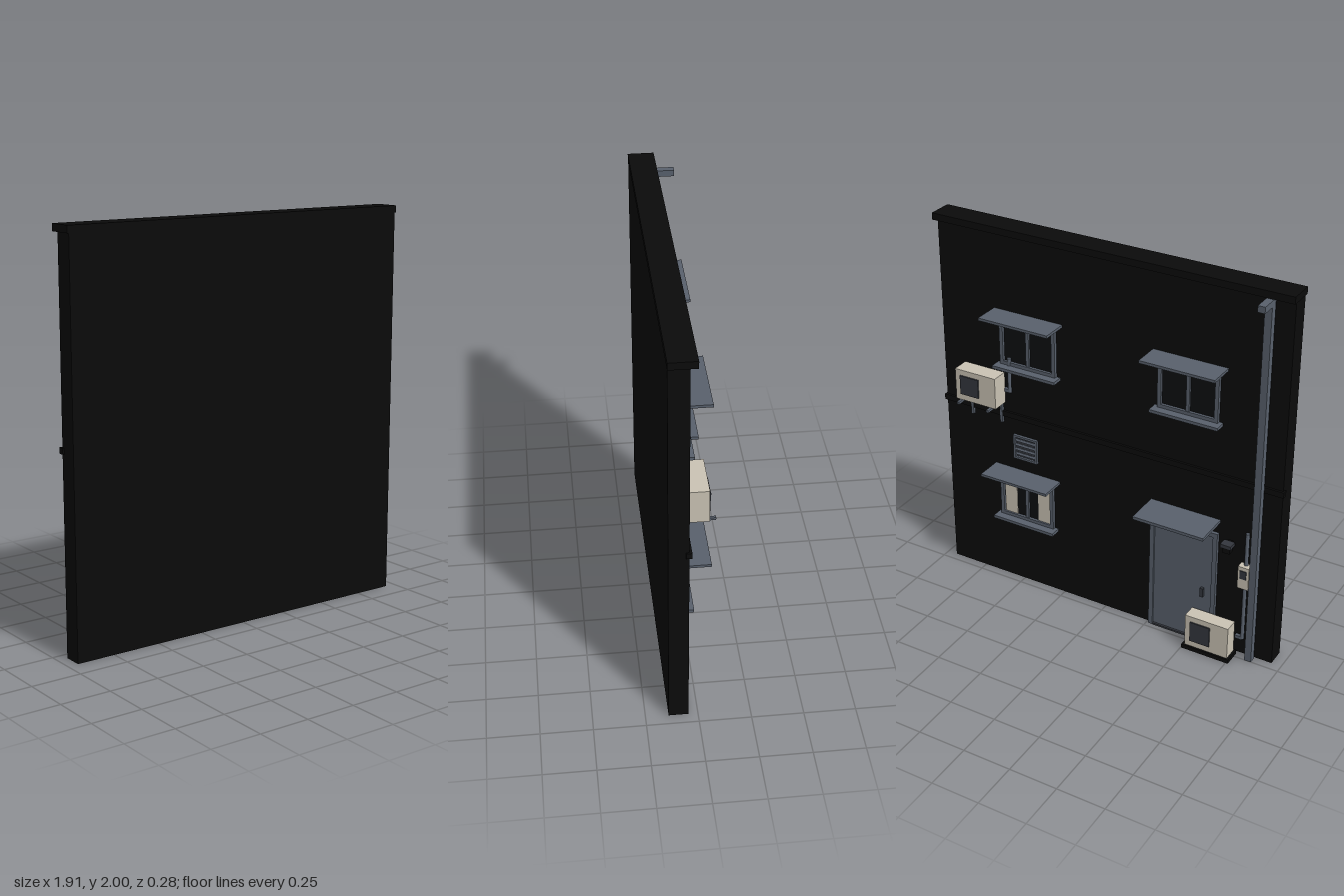
import * as THREE from 'three';

const material = (name, color) => {
  const m = new THREE.MeshStandardMaterial({ color });
  m.name = name;
  return m;
};
const black = material('black wall', 0x0b0b0b);
const slate = material('slate metal', 0x59616d);
const dark = material('dark grille', 0x34373e);
const glass = material('dark glass', 0x0e0f11);
const cream = material('cream casing', 0xcbc4b5);

const WALL = 0.045; // rear face of the wall, where all fittings hang

// Box given by its extents on each axis
function block(parent, name, mat, [x0, x1], [y0, y1], [z0, z1]) {
  const mesh = new THREE.Mesh(new THREE.BoxGeometry(x1 - x0, y1 - y0, z1 - z0), mat);
  mesh.position.set((x0 + x1) / 2, (y0 + y1) / 2, (z0 + z1) / 2);
  mesh.name = name;
  parent.add(mesh);
  return mesh;
}

function group(parent, name, x = 0, y = 0) {
  const g = new THREE.Group();
  g.name = name;
  g.position.set(x, y, 0);
  parent.add(g);
  return g;
}

// Vertical round pipe
function conduit(parent, name, x, y0, y1, z, r) {
  const mesh = new THREE.Mesh(new THREE.CylinderGeometry(r, r, y1 - y0, 10), slate);
  mesh.position.set(x, (y0 + y1) / 2, z);
  mesh.name = name;
  parent.add(mesh);
}

// Rectangular surround made of two posts and two rails
function surround(parent, w, h, t, depth, bottomRail = true) {
  const z = [WALL - depth, WALL];
  for (const s of [-1, 1]) {
    const xs = [s * w / 2, s * (w / 2 - t)].sort((a, b) => a - b);
    block(parent, 'framePost', slate, xs, [0, h], z);
  }
  const span = [-w / 2 + t, w / 2 - t];
  block(parent, 'frameTop', slate, span, [h - t, h], z);
  if (bottomRail) block(parent, 'frameBottom', slate, span, [0, t], z);
}

// Two-pane window with sill, awning and optional curtains; y is the sill top
function makeWindow(parent, x, y, curtains) {
  const g = group(parent, 'window', x, y);
  block(g, 'glass', glass, [-0.15, 0.15], [0.01, 0.25], [WALL - 0.004, WALL]);
  surround(g, 0.32, 0.26, 0.02, 0.018);
  block(g, 'mullion', slate, [-0.009, 0.009], [0.02, 0.24], [WALL - 0.015, WALL]);
  block(g, 'sill', slate, [-0.18, 0.18], [-0.014, 0.002], [-0.015, WALL]);
  block(g, 'awning', slate, [-0.195, 0.195], [0.277, 0.291], [-0.094, WALL]);
  if (!curtains) return;
  for (const s of [-1, 1]) {
    block(g, 'curtain', cream, [s * 0.1 - 0.036, s * 0.1 + 0.036], [0.02, 0.24], [WALL - 0.008, WALL - 0.004]);
  }
}

// Outdoor cooling unit; y is the underside of its casing
function makeCoolingUnit(parent, x, y, height, zBack) {
  const g = group(parent, 'coolingUnit', x, y);
  block(g, 'casing', cream, [-0.118, 0.118], [0, height], [-0.06, zBack]);
  block(g, 'fanGrille', dark, [-0.02, 0.088], [0.035, height - 0.03], [-0.067, -0.06]);
  return g;
}

export function createModel() {
  const model = new THREE.Group();
  model.name = 'buildingFacade';

  // Wall, coping and string course
  block(model, 'wall', black, [-0.947, 0.947], [0, 1.97], [WALL, 0.14]);
  block(model, 'coping', black, [-0.955, 0.955], [1.965, 2], [0.012, 0.141]);
  block(model, 'stringCourse', black, [-0.955, 0.955], [0.97, 1.0], [0.033, 0.06]);

  // Windows
  makeWindow(model, 0.44, 1.27, false);
  makeWindow(model, -0.445, 1.27, false);
  makeWindow(model, 0.465, 0.382, true);

  // Louvred vent
  const vent = group(model, 'vent', 0.47, 0.742);
  block(vent, 'ventBack', dark, [-0.06, 0.06], [0.005, 0.13], [WALL - 0.003, WALL]);
  surround(vent, 0.14, 0.136, 0.012, 0.014);
  for (let i = 0; i < 4; i++) {
    const slat = block(vent, 'louvre', slate, [-0.058, 0.058], [0.024 + i * 0.026, 0.036 + i * 0.026], [0.034, 0.04]);
    slat.rotation.x = 0.4;
  }

  // Door with frame, handle and canopy
  const door = group(model, 'door', -0.445, 0);
  block(door, 'doorLeaf', slate, [-0.162, 0.162], [0.008, 0.645], [WALL - 0.009, WALL]);
  surround(door, 0.37, 0.665, 0.024, 0.018, false);
  block(door, 'threshold', dark, [-0.162, 0.162], [0, 0.01], [0.025, WALL]);
  block(door, 'handle', dark, [-0.122, -0.104], [0.275, 0.325], [0.02, 0.036]);
  block(door, 'canopy', slate, [-0.19, 0.19], [0.725, 0.741], [-0.142, WALL]);

  // Upper cooling unit on wall brackets
  const upper = makeCoolingUnit(model, 0.695, 1.058, 0.168, 0.03);
  for (const x of [-0.088, 0.088]) {
    block(upper, 'bracketArm', slate, [x - 0.007, x + 0.007], [-0.013, 0], [-0.092, WALL]);
    block(upper, 'bracketLeg', slate, [x - 0.007, x + 0.007], [-0.125, -0.013], [0.03, WALL]);
  }
  conduit(model, 'coolantPipe', 0.55, 1.12, 1.31, 0.032, 0.01);
  block(model, 'coolantElbow', slate, [0.55, 0.58], [1.12, 1.138], [0.022, 0.04]);

  // Lower cooling unit on a plinth
  makeCoolingUnit(model, -0.633, 0.022, 0.178, 0.015);
  block(model, 'plinth', black, [-0.763, -0.503], [0, 0.022], [-0.07, 0.025]);

  // Wall lamp beside the door
  const lamp = group(model, 'wallLamp', -0.695, 0.6);
  block(lamp, 'lampArm', black, [-0.012, 0.012], [0.015, 0.045], [0.02, WALL]);
  block(lamp, 'lampShade', dark, [-0.028, 0.028], [0.03, 0.05], [-0.018, 0.03]);
  block(lamp, 'lampBody', black, [-0.02, 0.02], [0, 0.03], [-0.01, 0.025]);

  // Meter box with conduits
  block(model, 'meterBox', cream, [-0.815, -0.757], [0.415, 0.54], [0.004, WALL]);
  block(model, 'meterWindow', dark, [-0.803, -0.769], [0.475, 0.52], [-0.001, 0.004]);
  conduit(model, 'upperConduit', -0.787, 0.54, 0.72, 0.032, 0.01);
  conduit(model, 'lowerConduit', -0.787, 0.1, 0.415, 0.032, 0.01);
  block(model, 'conduitElbow', slate, [-0.787, -0.75], [0.095, 0.113], [0.023, 0.041]);

  // Drainpipe with its outlet at the top and wall clips
  block(model, 'drainpipe', slate, [-0.856, -0.82], [0, 1.96], [-0.002, 0.034]);
  block(model, 'drainOutlet', slate, [-0.856, -0.82], [1.933, 1.965], [-0.077, 0.03]);
  for (const y of [0.3, 0.9, 1.5]) {
    block(model, 'pipeClip', dark, [-0.85, -0.826], [y, y + 0.02], [0.034, WALL]);
  }

  return model;
}
